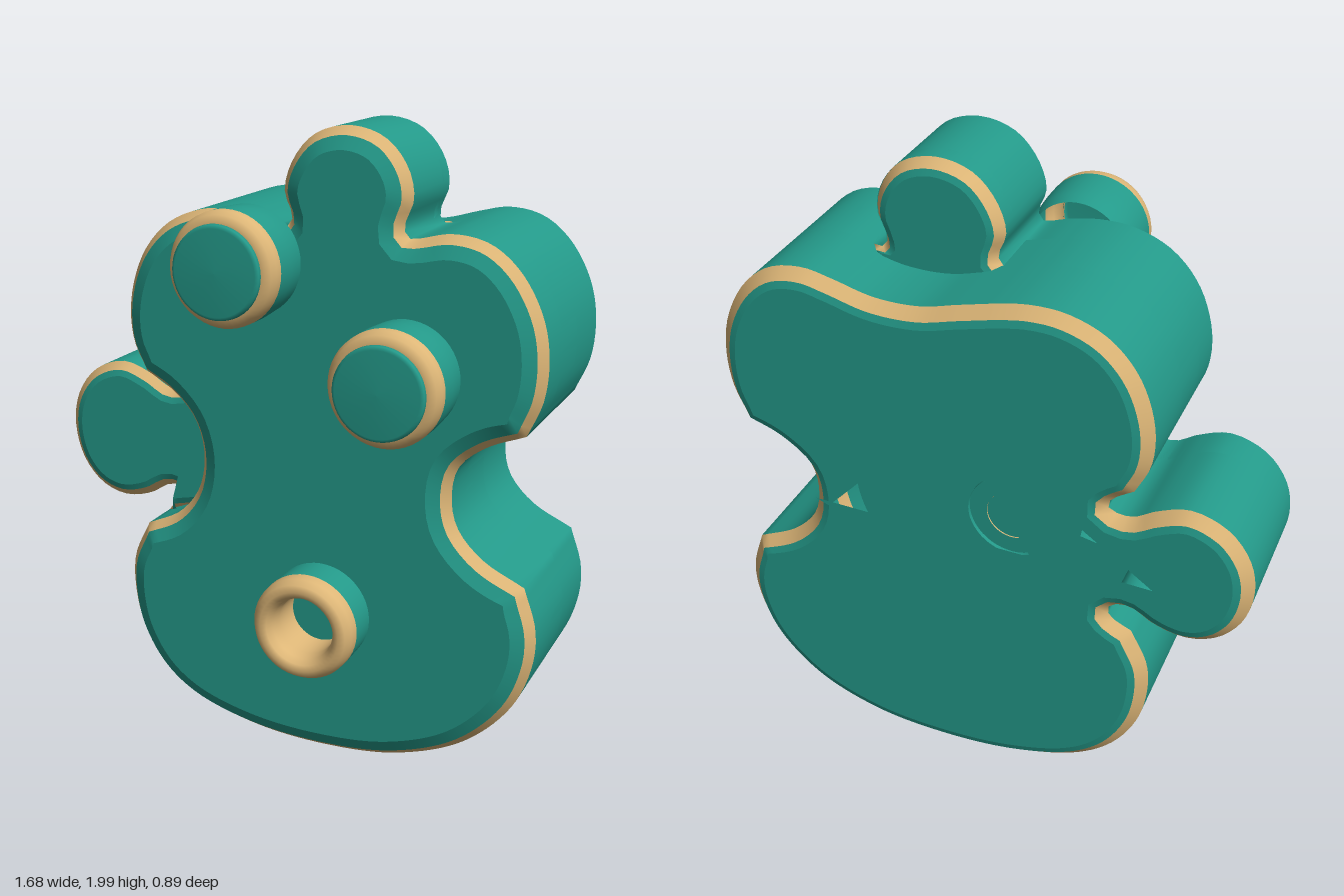
import * as THREE from 'three';

const teal = new THREE.MeshStandardMaterial({ color: 0x249a8a, side: THREE.DoubleSide });
teal.name = 'teal';
const gold = new THREE.MeshStandardMaterial({ color: 0xddb677, side: THREE.DoubleSide });
gold.name = 'sand gold';

// Outline runs, counterclockwise; each run is a smooth curve and runs meet at corners
const base = [[-0.48, 0.68], [-0.535, 0.56], [-0.54, 0.44], [-0.51, 0.31], [-0.43, 0.18], [-0.31, 0.09], [-0.1, 0.025],
  [0.15, 0.005], [0.4, 0.03], [0.62, 0.12], [0.77, 0.27], [0.83, 0.42], [0.835, 0.54], [0.795, 0.67]];
const rightNotch = [[0.795, 0.67], [0.66, 0.74], [0.58, 0.83], [0.56, 0.93], [0.58, 1.02], [0.66, 1.09], [0.78, 1.14]];
const rightLobe = [[0.78, 1.14], [0.825, 1.25], [0.835, 1.38], [0.81, 1.5], [0.74, 1.62], [0.65, 1.69], [0.54, 1.71], [0.44, 1.69]];
const topDip = [[0.44, 1.69], [0.32, 1.66], [0.18, 1.66], [0.06, 1.69], [-0.06, 1.72]];
const topKnob = [[0.44, 1.69], [0.4, 1.69], [0.395, 1.73], [0.42, 1.8], [0.4, 1.89], [0.33, 1.97], [0.22, 2], [0.11, 1.97],
  [0.04, 1.89], [0.015, 1.8], [0.04, 1.73], [0.03, 1.7], [-0.06, 1.72]];
const leftLobe = [[-0.06, 1.72], [-0.15, 1.735], [-0.26, 1.73], [-0.38, 1.68], [-0.47, 1.58], [-0.52, 1.43], [-0.515, 1.3], [-0.47, 1.2]];
const leftNotch = [[-0.47, 1.2], [-0.37, 1.14], [-0.3, 1.06], [-0.27, 0.95], [-0.29, 0.83], [-0.36, 0.74], [-0.48, 0.68]];
const sideKnob = [[-0.47, 1.2], [-0.41, 1.16], [-0.39, 1.13], [-0.42, 1.11], [-0.47, 1.11], [-0.54, 1.15], [-0.64, 1.18],
  [-0.75, 1.14], [-0.82, 1.05], [-0.84, 0.94], [-0.81, 0.82], [-0.74, 0.74], [-0.65, 0.71], [-0.55, 0.73], [-0.48, 0.77],
  [-0.43, 0.77], [-0.4, 0.74], [-0.42, 0.71], [-0.48, 0.68]];

function trace(runs) {
  return runs.flatMap(run => {
    const curve = new THREE.CatmullRomCurve3(run.map(p => new THREE.Vector3(p[0], p[1], 0)));
    return curve.getSpacedPoints(Math.max(3, Math.ceil(curve.getLength() / 0.03))).slice(0, -1);
  });
}

// Move an outline inwards, with softened normals at the corners
function inset(outline, d) {
  const n = outline.length;
  return outline.map((p, i) => {
    const t = new THREE.Vector3().subVectors(outline[(i + 3) % n], outline[(i + n - 3) % n]).normalize();
    return new THREE.Vector2(p.x - t.y * d, p.y + t.x * d);
  });
}

// Band between two [inset, z] levels, front level first
function band(outline, front, back) {
  const n = outline.length, pos = [], index = [];
  for (const [d, z] of [front, back]) inset(outline, d).forEach(p => pos.push(p.x, p.y, z));
  for (let i = 0; i < n; i++) {
    const j = (i + 1) % n;
    index.push(i, n + i, j, j, n + i, n + j);
  }
  const g = new THREE.BufferGeometry();
  g.setAttribute('position', new THREE.Float32BufferAttribute(pos, 3));
  g.setIndex(index);
  g.computeVertexNormals();
  return g;
}

function cap(outline, [d, z], holes = [], facesBack = false) {
  const shape = new THREE.Shape(inset(outline, d));
  holes.forEach(h => shape.holes.push(new THREE.Path(h.map(p => new THREE.Vector2(...p)))));
  const g = new THREE.ShapeGeometry(shape);
  if (facesBack) {
    const ix = g.index.array;
    for (let i = 0; i < ix.length; i += 3) [ix[i], ix[i + 1]] = [ix[i + 1], ix[i]];
    g.computeVertexNormals();
  }
  return g.translate(0, 0, z);
}

function add(group, name, geometry, material) {
  const mesh = new THREE.Mesh(geometry, material);
  mesh.name = name;
  group.add(mesh);
  return mesh;
}

// Open shell: wall from the far level to the rim, gold rim, sloped edge and cap
function shell(name, outline, wallEnd, levels, holes) {
  const group = new THREE.Group();
  group.name = name;
  const [a, b, c] = levels;
  const facesBack = c[1] < wallEnd;
  const ring = (p, q) => facesBack ? band(outline, p, q) : band(outline, q, p);
  add(group, 'wall', ring([0, wallEnd], a), teal);
  add(group, 'rim', ring(a, b), gold);
  add(group, 'edge', ring(b, c), teal);
  add(group, 'face', cap(outline, c, holes, facesBack), teal);
  return group;
}

function lathe(group, name, profile, material) {
  const g = new THREE.LatheGeometry(profile.map(p => new THREE.Vector2(...p)), 48);
  add(group, name, g.rotateX(Math.PI / 2), material);
}

export function createModel() {
  const model = new THREE.Group();
  model.name = 'puzzleFace';

  // Body front with the top knob, body back with the side knob
  model.add(shell('bodyFront', trace([base, rightNotch, rightLobe, topKnob, leftLobe, leftNotch]), -0.16,
    [[0, 0.15], [0.025, 0.185], [0.065, 0.205]]));
  const openings = [
    [[0.09, 1.34], [0.55, 0.92], [-0.17, 0.9]],
    [[-0.33, 1.05], [-0.3, 0.9], [-0.55, 0.89]],
  ];
  model.add(shell('bodyBack', trace([base, rightNotch, rightLobe, topDip, leftLobe, sideKnob]), 0.01,
    [[0, -0.4], [0.033, -0.433], [0.055, -0.44]], openings));

  // Closing faces of the two knobs, running into the body
  model.add(shell('topKnobBack', trace([topKnob, [[-0.06, 1.72], [0.05, 1.55]], [[0.05, 1.55], [0.38, 1.55]], [[0.38, 1.55], [0.44, 1.69]]]),
    -0.1, [[0, -0.155], [0.025, -0.19], [0.045, -0.197]]));
  model.add(shell('sideKnobFront', trace([sideKnob, [[-0.48, 0.68], [-0.2, 0.74]], [[-0.2, 0.74], [-0.2, 1.14]], [[-0.2, 1.14], [-0.47, 1.2]]]),
    -0.1, [[0, 0.01], [0.025, 0.035], [0.045, 0.042]]));

  // Eye pegs
  for (const [name, x, y] of [['rightEye', -0.07, 1.6], ['leftEye', 0.43, 1.3]]) {
    const eye = new THREE.Group();
    eye.name = name;
    eye.position.set(x, y, 0);
    lathe(eye, 'peg', [[0.155, 0.19], [0.168, 0.22], [0.173, 0.3], [0.173, 0.365]], teal);
    lathe(eye, 'pegRim', [[0.173, 0.365], [0.172, 0.39], [0.162, 0.41], [0.145, 0.42], [0.13, 0.42]], gold);
    lathe(eye, 'pegDisc', [[0.132, 0.415], [0.14, 0.43], [0.138, 0.44], [0.128, 0.447], [0, 0.45]], teal);
    model.add(eye);
  }

  // Hollow nose peg
  const nose = new THREE.Group();
  nose.name = 'nose';
  nose.position.set(0.16, 0.5, 0);
  lathe(nose, 'noseWall', [[0.163, 0.19], [0.165, 0.31]], teal);
  lathe(nose, 'noseRing', [[0.165, 0.31], [0.163, 0.345], [0.15, 0.368], [0.13, 0.377], [0.112, 0.368], [0.1, 0.345], [0.095, 0.31], [0.095, 0.2]], gold);
  model.add(nose);

  return model;
}
